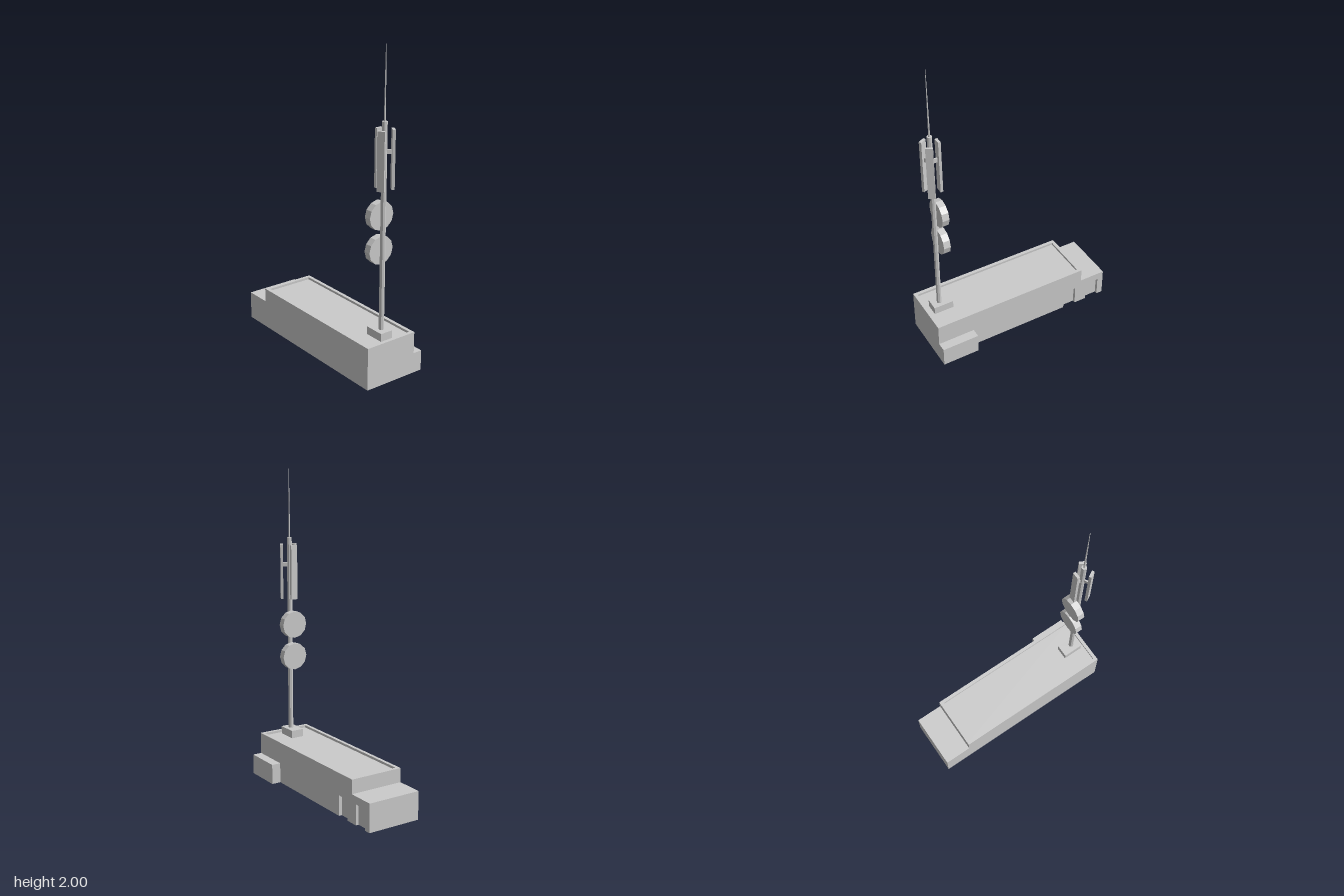
import * as THREE from 'three';

const WEST = -0.21, EAST = 0.145, FRONT = 0.615, BACK = -0.615, STEP = -0.44;
const HIGH = 0.27, LOW = 0.18, ROOF = 0.255, RIM = 0.022;
const DOOR_H = 0.13, DOOR_DEPTH = 0.02;
const DOORS = [[-0.397, -0.307], [-0.574, -0.48]];
const MAST = { x: -0.03, z: 0.518 };

const solid = new THREE.MeshStandardMaterial({ color: 0xcccccc, flatShading: true });
const shell = new THREE.MeshStandardMaterial({ color: 0xcccccc, flatShading: true, side: THREE.DoubleSide });

function add(parent, name, geometry, material = solid, x = 0, y = 0, z = 0) {
  const mesh = new THREE.Mesh(geometry, material);
  mesh.name = name;
  mesh.position.set(x, y, z);
  parent.add(mesh);
  return mesh;
}

// Box given by its limits, keeping only the listed sides (0 +x, 1 -x, 2 +y, 3 -y, 4 +z, 5 -z)
function openBox(parent, name, [x0, x1], [y0, y1], [z0, z1], sides) {
  const geo = new THREE.BoxGeometry(x1 - x0, y1 - y0, z1 - z0);
  const index = Array.from(geo.index.array);
  geo.setIndex(sides.flatMap(s => index.slice(s * 6, s * 6 + 6)));
  geo.clearGroups();
  return add(parent, name, geo, shell, (x0 + x1) / 2, (y0 + y1) / 2, (z0 + z1) / 2);
}

// Stepped long wall; the shape is drawn in (-z, y) and turned to face +x
function longWall(parent, name, x, doors) {
  const s = new THREE.Shape();
  s.moveTo(-FRONT, 0);
  for (const [z0, z1] of doors) {
    s.lineTo(-z1, 0);
    s.lineTo(-z1, DOOR_H);
    s.lineTo(-z0, DOOR_H);
    s.lineTo(-z0, 0);
  }
  s.lineTo(-BACK, 0);
  s.lineTo(-BACK, LOW);
  s.lineTo(-STEP, LOW);
  s.lineTo(-STEP, HIGH);
  s.lineTo(-FRONT, HIGH);
  s.closePath();
  const geo = new THREE.ShapeGeometry(s).rotateY(Math.PI / 2);
  return add(parent, name, geo, shell, x);
}

function rectangle(Type, x0, x1, z0, z1) {
  return new Type().setFromPoints([
    new THREE.Vector2(x0, -z0), new THREE.Vector2(x0, -z1),
    new THREE.Vector2(x1, -z1), new THREE.Vector2(x1, -z0),
  ]);
}

function createBuilding() {
  const g = new THREE.Group();
  g.name = 'building';
  longWall(g, 'doorWall', EAST, DOORS);
  longWall(g, 'plainWall', WEST, []);
  openBox(g, 'frontWall', [WEST, EAST], [0, HIGH], [STEP, FRONT], [4]);
  openBox(g, 'stepRiser', [WEST, EAST], [LOW, HIGH], [STEP, FRONT], [5]);
  openBox(g, 'lowAnnex', [WEST, EAST], [0, LOW], [BACK, STEP], [2, 5]);

  // Raised rim around a slightly sunken roof
  const rim = rectangle(THREE.Shape, WEST, EAST, STEP, FRONT);
  const inner = [WEST + RIM, EAST - RIM, STEP + RIM, FRONT - RIM];
  rim.holes.push(rectangle(THREE.Path, ...inner));
  add(g, 'parapetTop', new THREE.ShapeGeometry(rim).rotateX(-Math.PI / 2), shell, 0, HIGH);
  openBox(g, 'parapetInside', inner.slice(0, 2), [ROOF, HIGH], inner.slice(2), [0, 1, 4, 5]);
  const roof = new THREE.ShapeGeometry(rectangle(THREE.Shape, ...inner)).rotateX(-Math.PI / 2);
  add(g, 'roof', roof, shell, 0, ROOF);

  // Recessed doorways and the side porch
  for (const door of DOORS)
    openBox(g, 'doorway', [EAST - DOOR_DEPTH, EAST], [0, DOOR_H], door, [1, 2, 4, 5]);
  openBox(g, 'sidePorch', [EAST, 0.205], [0, 0.13], [0.37, FRONT], [0, 2, 4, 5]);
  return g;
}

function createMast() {
  const g = new THREE.Group();
  g.name = 'mast';
  g.position.set(MAST.x, 0, MAST.z);
  add(g, 'mastBase', new THREE.BoxGeometry(0.085, 0.05, 0.13), solid, -0.002, 0.28, -0.013);
  add(g, 'pole', new THREE.CylinderGeometry(0.016, 0.016, 1.27, 8), solid, 0, 0.935, 0);
  add(g, 'whipAntenna', new THREE.CylinderGeometry(0.0015, 0.006, 0.43, 8), solid, 0, 1.785, 0);

  // Twelve-sided drum dishes behind the pole
  for (const y of [0.8, 1.01]) {
    const dish = new THREE.CylinderGeometry(0.087, 0.087, 0.045, 12);
    dish.rotateY(Math.PI / 2).rotateX(Math.PI / 2);
    add(g, 'dish', dish, solid, 0, y, -0.036);
  }

  // Three panel antennas spaced evenly around the pole
  for (let i = 0; i < 3; i++) {
    const arm = new THREE.Group();
    arm.name = 'panelAntenna';
    arm.rotation.y = i * Math.PI * 2 / 3;
    add(arm, 'panel', new THREE.BoxGeometry(0.044, 0.35, 0.017), solid, 0, 1.35, -0.05);
    add(arm, 'bracket', new THREE.BoxGeometry(0.009, 0.028, 0.034), solid, 0, 1.395, -0.027);
    g.add(arm);
  }
  return g;
}

export function createModel() {
  const model = new THREE.Group();
  model.name = 'mastBuilding';
  model.add(createBuilding(), createMast());
  return model;
}
